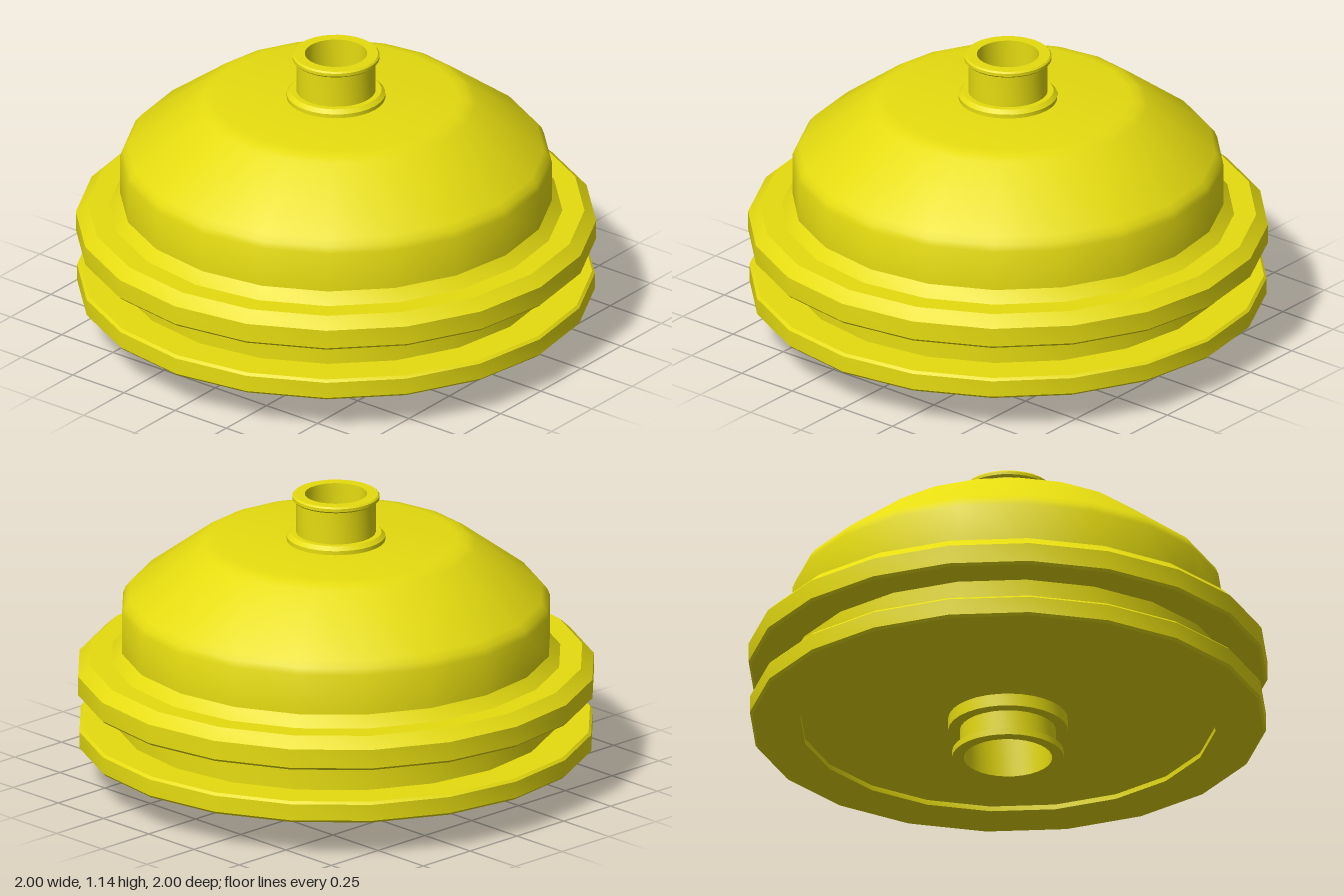
import * as THREE from 'three';
import { toCreasedNormals } from 'three/addons/utils/BufferGeometryUtils.js';

const material = new THREE.MeshStandardMaterial({ color: 0xe6dc10, side: THREE.DoubleSide });

// Turned part: profile of [radius, height] pairs, running up the outside
function turned(name, profile, sides) {
  const points = profile.map(([r, y]) => new THREE.Vector2(r, y));
  const geometry = toCreasedNormals(new THREE.LatheGeometry(points, sides), 0.7);
  const mesh = new THREE.Mesh(geometry, material);
  mesh.name = name;
  return mesh;
}

export function createModel() {
  const group = new THREE.Group();
  group.name = 'domedHousing';

  // Lower flange with a shallow recess underneath
  group.add(turned('lowerFlange', [
    [0, 0.165], [0.8, 0.165], [0.8, 0.145], [0.985, 0.145], [0.995, 0.155],
    [0.995, 0.22], [0.985, 0.23], [0.85, 0.23],
  ], 20));

  // Groove wall between the flanges
  group.add(turned('grooveWall', [[0.85, 0.23], [0.85, 0.36]], 20));

  // Upper flange with chamfered rim and a step up to the dome
  group.add(turned('upperFlange', [
    [0.85, 0.36], [0.99, 0.36], [1, 0.37], [1, 0.445], [0.955, 0.487],
    [0.87, 0.487], [0.83, 0.53],
  ], 20));

  // Dome: upright wall, sloped shoulder, flat top
  group.add(turned('dome', [
    [0.83, 0.53], [0.83, 0.69], [0.82, 0.715], [0.8, 0.74], [0.54, 0.935],
    [0.51, 0.95], [0.47, 0.957], [0, 0.957],
  ], 20));

  // Top neck with base ring, rolled lip and open bore
  group.add(turned('topNeck', [
    [0.19, 0.957], [0.19, 0.973], [0.175, 0.988], [0.153, 0.988], [0.153, 1.118],
    [0.162, 1.118], [0.168, 1.124], [0.168, 1.136], [0.162, 1.142],
    [0.12, 1.142], [0.12, 0.962], [0, 0.962],
  ], 32));

  // Bottom neck with end flange, collar and open bore
  group.add(turned('bottomNeck', [
    [0, 0.16], [0.17, 0.16], [0.17, 0], [0.215, 0], [0.215, 0.026],
    [0.185, 0.026], [0.185, 0.115], [0.23, 0.115], [0.23, 0.165],
  ], 32));

  return group;
}
